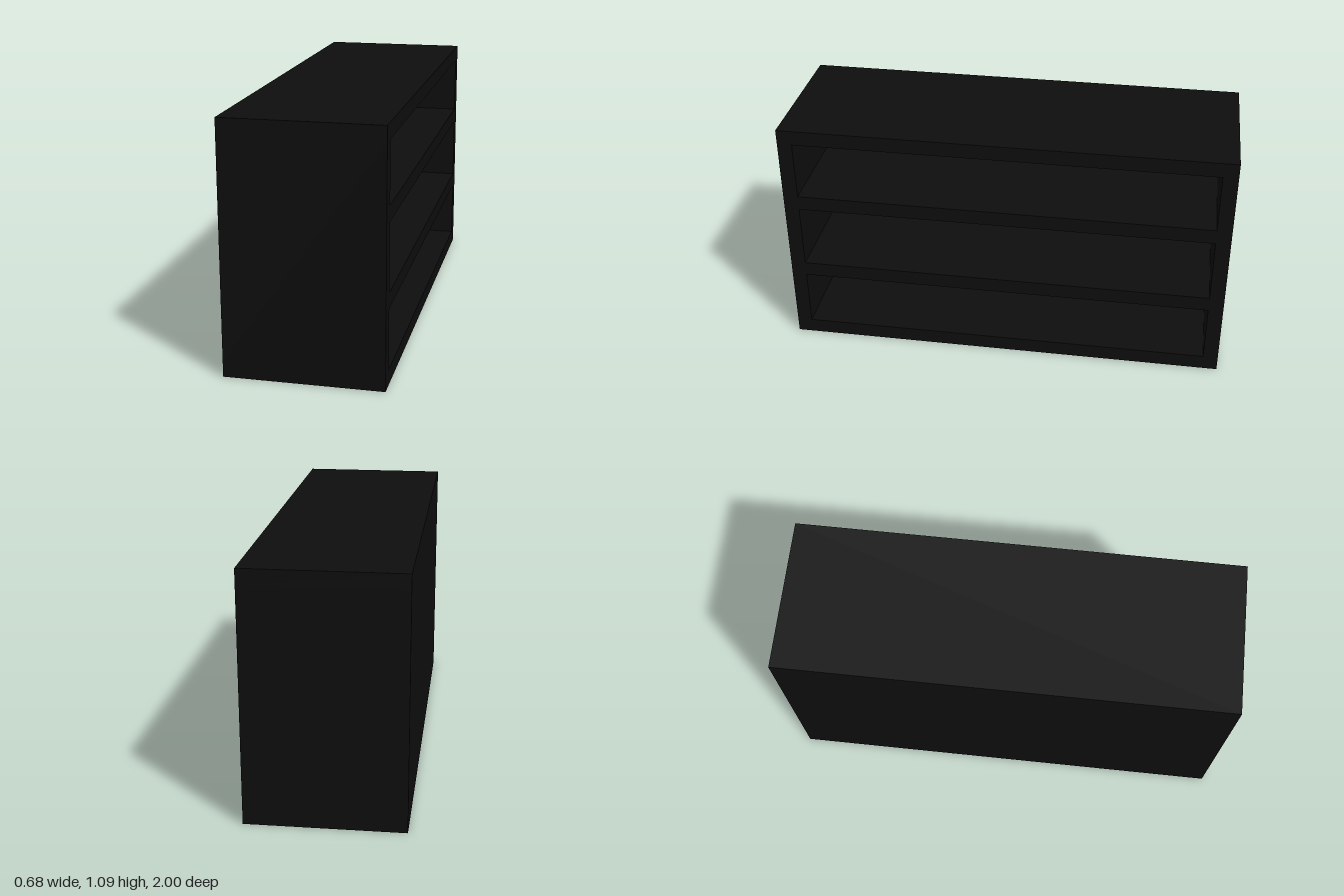
import * as THREE from 'three';

// Long low bookcase, open on the +x side.
const W = 0.68, H = 1.09, L = 2, T = 0.067;

export function createModel() {
  const group = new THREE.Group();
  group.name = 'bookcase';
  const black = new THREE.MeshStandardMaterial({ color: 0x0d0d0d });
  black.name = 'black';

  function board(name, w, h, l, x, y, z) {
    const mesh = new THREE.Mesh(new THREE.BoxGeometry(w, h, l), black);
    mesh.name = name;
    mesh.position.set(x, y, z);
    group.add(mesh);
  }

  // Top and bottom boards
  board('bottomBoard', W, T, L, 0, T / 2, 0);
  board('topBoard', W, T, L, 0, H - T / 2, 0);

  // End panels between them
  for (const side of [1, -1]) {
    board(side > 0 ? 'frontEndPanel' : 'rearEndPanel',
      W, H - 2 * T, T, 0, H / 2, side * (L - T) / 2);
  }

  // Back panel closing the -x side
  board('backPanel', T, H - 2 * T, L - 2 * T, -(W - T) / 2, H / 2, 0);

  // Two shelves flush with the open side
  [0.365, 0.725].forEach((y, i) => {
    board(i ? 'upperShelf' : 'lowerShelf', W - T, T, L - 2 * T, T / 2, y, 0);
  });

  return group;
}
